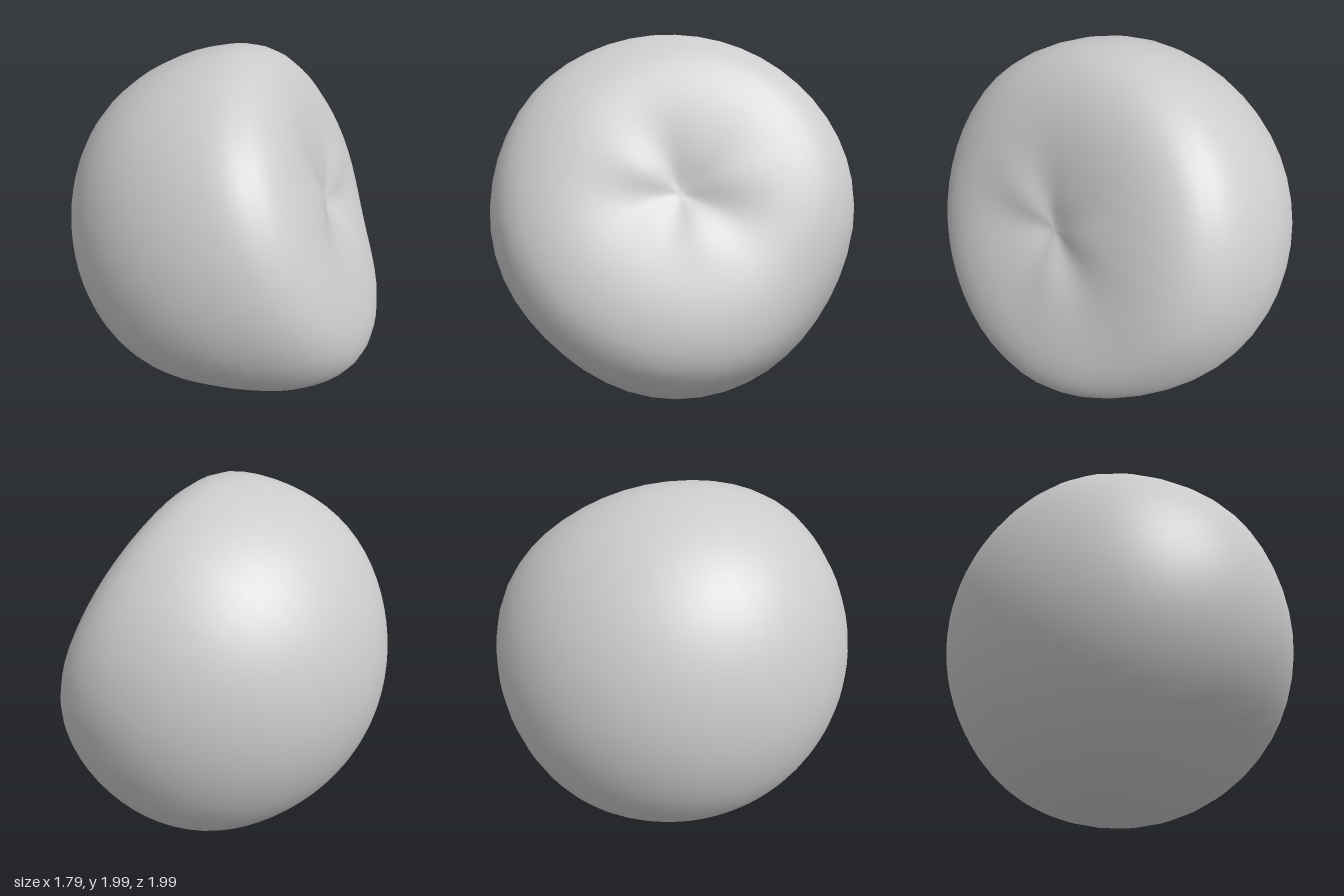
import * as THREE from 'three';
import { mergeVertices } from 'three/addons/utils/BufferGeometryUtils.js';

const unit = (x, y, z) => new THREE.Vector3(x, y, z).normalize();
const N = unit(0.84, 0.42, 0.33); // facing of the flattened side
const FLAT = 0.57;                // distance of the flat from the centre
const SOFT = 6;                   // sharpness of the rim
// gentle swellings and hollows: direction, amount, tightness
const BULGES = [
  [unit(-0.2, -0.74, 0.64), -0.06, 10],
  [unit(-0.72, 0.68, 0.1), 0.03, 10],
  [unit(0, 0.7, 0.72), 0.025, 12],
  [unit(0, -0.75, -0.65), 0.02, 12],
  [unit(0.85, -0.3, -0.42), -0.07, 8],
];

// distance of the surface from the centre in direction u; a is the angle around N
function radius(u, a) {
  const t = u.dot(N);
  let r = 1;
  for (const [dir, amount, tight] of BULGES) r += amount * Math.exp(tight * (u.dot(dir) - 1));
  r *= Math.pow(1 + Math.pow(Math.max(t, 0) / FLAT, SOFT), -1 / SOFT);
  if (t > 0.3) {
    // shallow bowl, a small pit in its middle and soft uneven creases
    const q = FLAT * Math.sqrt(Math.max(0, 1 - t * t)) / t;
    r -= 0.07 * Math.exp(-((q / 0.45) ** 2)) + 0.035 * Math.exp(-((q / 0.15) ** 2));
    const ring = (q / 0.28) ** 2 * Math.exp(1 - (q / 0.28) ** 2);
    r += 0.012 * ring * (Math.sin(3 * a + 0.6) + 0.6 * Math.sin(5 * a + 2));
  }
  return r;
}

export function createModel() {
  const group = new THREE.Group();
  group.name = 'dentedBall';

  // sphere whose pole sits in the middle of the dent
  let geo = new THREE.SphereGeometry(1, 48, 40);
  geo.deleteAttribute('uv');
  geo.deleteAttribute('normal');
  geo = mergeVertices(geo, 1e-4);
  const turn = new THREE.Quaternion().setFromUnitVectors(new THREE.Vector3(0, 1, 0), N);
  const pos = geo.attributes.position;
  const u = new THREE.Vector3();
  for (let i = 0; i < pos.count; i++) {
    u.fromBufferAttribute(pos, i).normalize();
    const a = Math.atan2(u.z, u.x);
    u.applyQuaternion(turn);
    u.multiplyScalar(radius(u, a));
    pos.setXYZ(i, u.x, u.y, u.z);
  }
  geo.computeVertexNormals();

  const ball = new THREE.Mesh(geo, new THREE.MeshStandardMaterial({ color: 0xcccccc }));
  ball.name = 'ball';
  ball.position.set(0.11, 1, 0);
  group.add(ball);
  return group;
}
